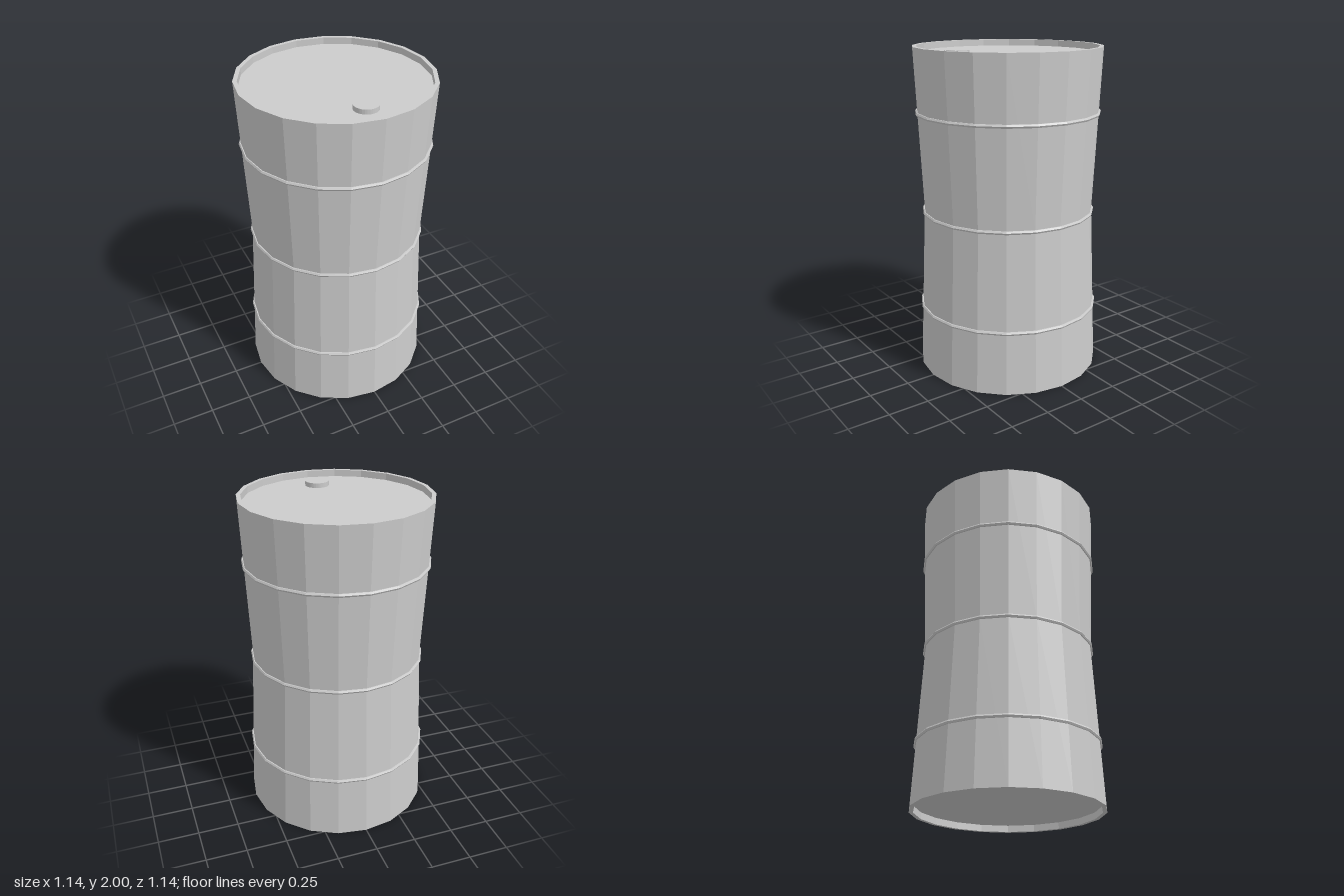
import * as THREE from 'three';

const SIDES = 20;
const END_R = 0.57, WAIST_R = 0.525, INNER_R = 0.545, RECESS = 0.04;

export function createModel() {
  const drum = new THREE.Group();
  drum.name = 'drum';
  const grey = new THREE.MeshStandardMaterial({ color: 0xcccccc, flatShading: true });

  const add = (name, geometry, x, y, z) => {
    const mesh = new THREE.Mesh(geometry, grey);
    mesh.name = name;
    mesh.position.set(x, y, z);
    drum.add(mesh);
  };

  // Waisted shell with a recessed lid and base inside thin rims
  const profile = [
    [0, RECESS], [INNER_R, RECESS], [INNER_R, 0], [END_R, 0],
    [WAIST_R, 1],
    [END_R, 2], [INNER_R, 2], [INNER_R, 2 - RECESS], [0, 2 - RECESS],
  ].map(([r, y]) => new THREE.Vector2(r, y));
  add('shell', new THREE.LatheGeometry(profile, SIDES), 0, 0, 0);

  // Raised hoops, centred on the shell wall
  for (const [name, y] of [['lowerHoop', 0.39], ['middleHoop', 1], ['upperHoop', 1.61]]) {
    const radius = WAIST_R + (END_R - WAIST_R) * Math.abs(y - 1);
    const hoop = new THREE.TorusGeometry(radius, 0.012, 6, SIDES).rotateX(Math.PI / 2);
    add(name, hoop, 0, y, 0);
  }

  // Filler cap on the lid
  add('fillerCap', new THREE.CylinderGeometry(0.072, 0.072, 0.03, 32), 0, 2 - RECESS + 0.013, 0.355);

  return drum;
}
